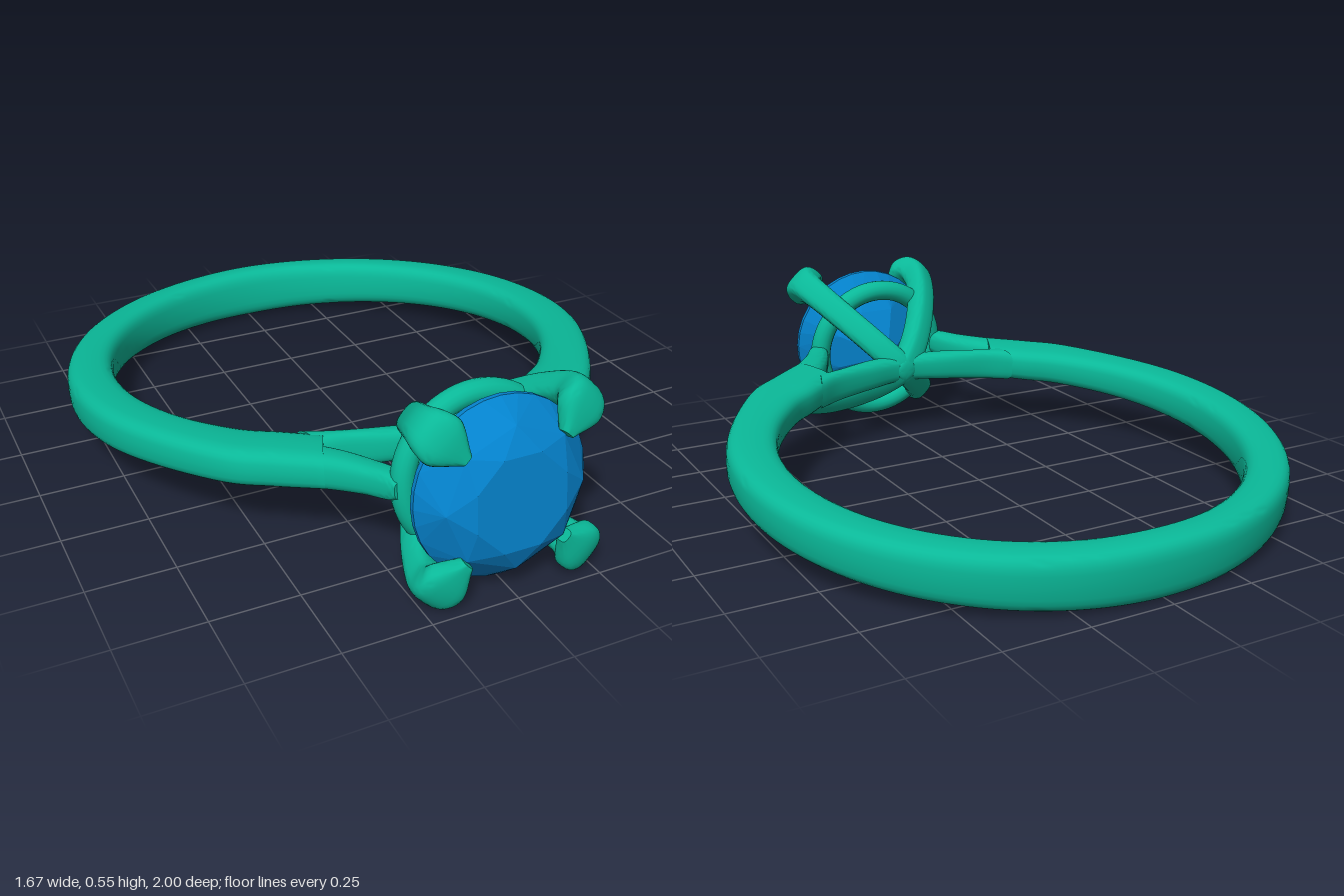
import * as THREE from 'three';
import { toCreasedNormals } from 'three/addons/utils/BufferGeometryUtils.js';
import { ConvexGeometry } from 'three/addons/geometries/ConvexGeometry.js';

const metal = new THREE.MeshStandardMaterial({ color: 0x0ab898 });
const stone = new THREE.MeshStandardMaterial({ color: 0x0482cc });

// Section rows: [innerX, innerZ, outerX, outerZ, halfHeight]
const mirrored = (rows) => rows.map(([ax, az, bx, bz, h]) => [-ax, az, -bx, bz, h]).reverse();

// Skin of rounded-box sections, each spanning from its inner to its outer point
function loft(rows, steps, power) {
  const sides = 28;
  const inner = new THREE.CatmullRomCurve3(rows.map((r) => new THREE.Vector3(r[0], r[4], r[1])), false, 'catmullrom', 0.5);
  const outer = new THREE.CatmullRomCurve3(rows.map((r) => new THREE.Vector3(r[2], r[4], r[3])), false, 'catmullrom', 0.5);
  const pos = [], index = [];
  const soft = (v) => Math.sign(v) * Math.pow(Math.abs(v), power);
  const n = steps * (rows.length - 1);
  const mids = [];
  for (let i = 0; i <= n; i++) {
    const a = inner.getPoint(i / n), b = outer.getPoint(i / n);
    const cx = (a.x + b.x) / 2, cz = (a.z + b.z) / 2;
    mids.push([cx, 0, cz]);
    for (let j = 0; j < sides; j++) {
      const t = (j / sides) * Math.PI * 2;
      const c = soft(Math.cos(t)) / 2;
      pos.push(cx + c * (b.x - a.x), a.y * soft(Math.sin(t)), cz + c * (b.z - a.z));
    }
  }
  pos.push(...mids[0], ...mids[n]);
  const first = (n + 1) * sides;
  for (let j = 0; j < sides; j++) {
    const k = (j + 1) % sides;
    for (let i = 0; i < n; i++) {
      const p = i * sides, q = p + sides;
      index.push(p + j, p + k, q + k, p + j, q + k, q + j);
    }
    index.push(first, k, j, first + 1, n * sides + j, n * sides + k);
  }
  const geo = new THREE.BufferGeometry();
  geo.setAttribute('position', new THREE.Float32BufferAttribute(pos, 3));
  geo.setIndex(index);
  return toCreasedNormals(geo, 0.8);
}

// Faceted round stone: flat table, crown, thin girdle and pointed pavilion
function gemGeometry() {
  const pts = [new THREE.Vector3(0, 0, 0.665)];
  const ring = (count, r, z, shift) => {
    for (let i = 0; i < count; i++) {
      const t = ((i + shift) / count) * Math.PI * 2;
      pts.push(new THREE.Vector3(r * Math.cos(t), r * Math.sin(t), z));
    }
  };
  ring(8, 0.14, 0.995, 0.5);
  ring(8, 0.2, 0.963, 0);
  ring(32, 0.253, 0.89, 0);
  ring(32, 0.253, 0.875, 0);
  ring(8, 0.15, 0.765, 0.5);
  return new ConvexGeometry(pts);
}

export function createModel() {
  const model = new THREE.Group();
  model.name = 'ring';
  // The whole ring leans slightly, head raised
  const body = new THREE.Group();
  body.name = 'tiltedRing';
  body.rotation.x = -0.1;
  body.position.y = 0.187;
  model.add(body);
  const add = (name, geo, mat = metal) => {
    const mesh = new THREE.Mesh(geo, mat);
    mesh.name = name;
    body.add(mesh);
    return mesh;
  };

  // Shank: circular band that widens towards the shoulders
  const half = [];
  for (let deg = 15; deg <= 120; deg += 15) {
    const t = THREE.MathUtils.degToRad(deg), s = Math.sin(t), c = -Math.cos(t);
    const ro = 0.82 + 0.014 * s;
    half.push([0.686 * s, -0.19 + 0.69 * c, ro * s, -0.178 + ro * c, 0.086 - 0.00022 * deg]);
  }
  half.push([0.485, 0.3, 0.59, 0.44, 0.057], [0.39, 0.375, 0.485, 0.53, 0.056], [0.297, 0.45, 0.37, 0.618, 0.054]);
  add('shank', loft([...mirrored(half), [0, -0.88, 0, -0.998, 0.086], ...half], 6, 0.6));

  // Shoulder arms rising to the head
  const arm = [
    [0.335, 0.5, 0.41, 0.58, 0.052],
    [0.285, 0.565, 0.35, 0.638, 0.049],
    [0.238, 0.645, 0.3, 0.7, 0.044],
    [0.2, 0.73, 0.265, 0.755, 0.04],
    [0.205, 0.775, 0.25, 0.785, 0.025],
  ];
  add('leftShoulderArm', loft(arm, 5, 0.7));
  add('rightShoulderArm', loft(mirrored(arm), 5, 0.7));

  // Bridge closing the finger hole under the head
  const bridge = [
    [0.36, 0.4, 0.33, 0.495, 0.053],
    [0.27, 0.45, 0.25, 0.51, 0.051],
    [0.13, 0.488, 0.12, 0.56, 0.048],
  ];
  add('bridge', loft([...bridge, [0, 0.512, 0, 0.575, 0.042], ...mirrored(bridge)], 6, 0.7));

  // Two crossing V-shaped wires whose widened, hooked tips form the four prongs
  const prong = [
    [0.07, 0.625, 0.1, 0.55, 0.045],
    [0.14, 0.69, 0.195, 0.635, 0.045],
    [0.2, 0.765, 0.272, 0.73, 0.046],
    [0.24, 0.83, 0.32, 0.81, 0.048],
    [0.255, 0.88, 0.35, 0.885, 0.052],
    [0.26, 0.905, 0.342, 0.945, 0.064],
    [0.245, 0.925, 0.29, 0.975, 0.066],
    [0.2, 0.945, 0.206, 0.982, 0.018],
  ];
  const wire = loft([...mirrored(prong), [0, 0.59, 0, 0.505, 0.045], ...prong], 5, 0.65);
  [1, -1].forEach((s) => {
    add(s > 0 ? 'prongWireA' : 'prongWireB', wire).rotation.z = (s * Math.PI) / 4;
  });

  // Round rail behind the stone
  add('galleryRail', new THREE.TorusGeometry(0.215, 0.034, 16, 64)).position.z = 0.762;

  add('gemstone', gemGeometry(), stone);
  return model;
}
